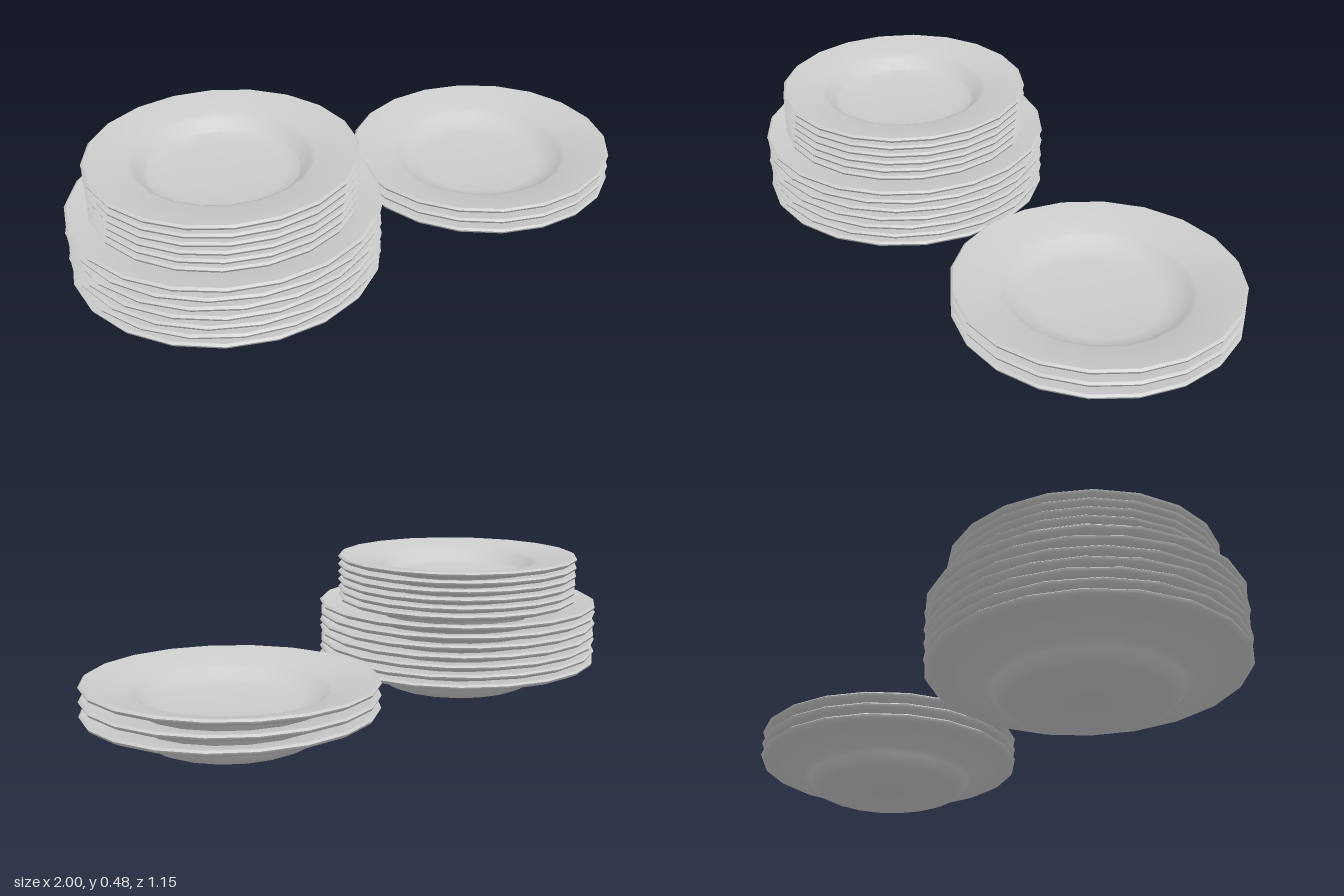
import * as THREE from 'three';
import { toCreasedNormals } from 'three/addons/utils/BufferGeometryUtils.js';

const SIDES = 20;
const material = new THREE.MeshStandardMaterial({ color: 0xcccccc });

// One closed plate profile: underside outward, around the lip, back across the top
function plateGeometry({ radius, height, base, well, floor }) {
  const profile = [
    [0, 0], [base, 0], [base + 0.025, 0.012], [well - 0.015, 0.038], [well, 0.056],
    [radius - 0.02, height - 0.022], [radius - 0.004, height - 0.014],
    [radius, height - 0.006], [radius - 0.008, height], [radius - 0.03, height - 0.004],
    [well + 0.01, 0.08], [well - 0.008, 0.072], [base + 0.015, floor + 0.009],
    [base - 0.03, floor + 0.002], [0, floor],
  ].map(([x, y]) => new THREE.Vector2(x, y));
  return toCreasedNormals(new THREE.LatheGeometry(profile, SIDES), 0.7);
}

// Nested plates, each with its own small turn and lean
function plateStack(name, plate, { x, y, z, count, spacing, turn = 0, lean = 0 }) {
  const stack = new THREE.Group();
  stack.name = name;
  stack.position.set(x, y, z);
  const geometry = plateGeometry(plate);
  for (let i = 0; i < count; i++) {
    const mesh = new THREE.Mesh(geometry, material);
    mesh.name = `${name}Plate${i + 1}`;
    mesh.position.y = i * spacing;
    mesh.rotation.set(0, turn * i, lean * i / Math.max(1, count - 1), 'ZYX');
    stack.add(mesh);
  }
  return stack;
}

export function createModel() {
  const model = new THREE.Group();
  model.name = 'stackedPlates';

  // Tall stack: dinner plates with smaller plates resting on top
  model.add(plateStack('dinner',
    { radius: 0.505, height: 0.113, base: 0.255, well: 0.315, floor: 0.031 },
    { x: -0.495, y: 0, z: 0.07, count: 7, spacing: 0.0335, turn: 0.11 }));
  model.add(plateStack('side',
    { radius: 0.435, height: 0.1, base: 0.23, well: 0.285, floor: 0.027 },
    { x: -0.493, y: 0.234, z: 0.07, count: 6, spacing: 0.029, turn: 0.02 }));

  // Low stack, leaning slightly upward on its outer side
  model.add(plateStack('low',
    { radius: 0.467, height: 0.113, base: 0.25, well: 0.307, floor: 0.033 },
    { x: 0.53, y: 0, z: -0.11, count: 3, spacing: 0.042, lean: 0.016 }));

  return model;
}
